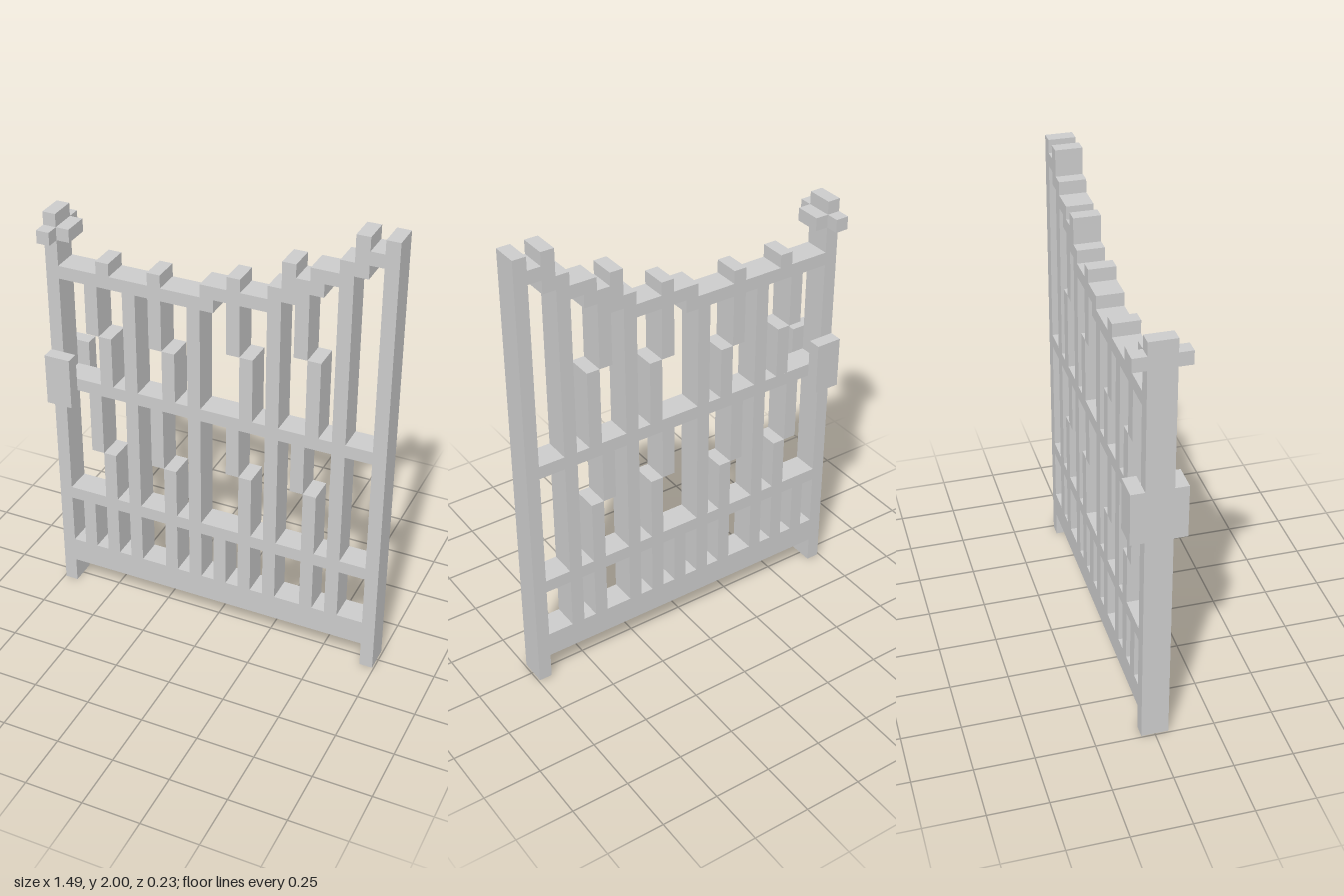
import * as THREE from 'three';

const U = 2 / 35; // one grid cell; the gate is 26 cells wide and 35 tall
const material = new THREE.MeshStandardMaterial({ color: 0xcccccc, flatShading: true });

export function createModel() {
  const gate = new THREE.Group();
  gate.name = 'gate';

  // Box spanning columns c0..c1, rows r0..r1 and depths z0..z1, in cells
  function block(name, c0, c1, r0, r1, z0 = -1, z1 = 1) {
    const geometry = new THREE.BoxGeometry((c1 - c0) * U, (r1 - r0) * U, (z1 - z0) * U);
    const mesh = new THREE.Mesh(geometry, material);
    mesh.position.set(((c0 + c1) / 2 - 13) * U, (r0 + r1) / 2 * U, (z0 + z1) / 2 * U);
    mesh.name = name;
    gate.add(mesh);
  }
  const bar = (name, c, r0, r1) => block(name, c, c + 1, r0, r1);

  // Side posts
  bar('latchPost', 0, 0, 32);
  bar('hingePost', 25, 0, 35);

  // Horizontal rails
  block('bottomRail', 1, 25, 2, 4);
  block('lowerRail', 1, 25, 8, 9);
  block('middleRail', 1, 25, 18, 19);
  block('topRail', 1, 13, 27, 28);

  // Stepped top rail rising to the hinge post
  block('steppedRail', 12, 17, 28, 29);
  for (const [c, r0, r1] of [[18, 29, 32], [20, 30, 32], [21, 31, 32], [23, 32, 35], [24, 33, 34]])
    bar('steppedRail', c, r0, r1);

  // Finials on the top rail
  for (const [c, r] of [[4, 28], [8, 28], [14, 29]]) bar('finial', c, r, r + 1);

  // Straight bars, split where they cross the rails
  for (const [c, top] of [[6, 27], [11, 27], [17, 30], [22, 33]]) {
    for (const [r0, r1] of [[4, 8], [9, 18], [19, top]]) bar('straightBar', c, r0, r1);
  }

  // Jogged bars: the upper half sits one column left of the lower half
  for (const [c, lowJog, highJog, top] of [[3, 13, 23, 27], [8, 13, 23, 27], [14, 14, 24, 28], [19, 14, 25, 31]]) {
    bar('joggedBar', c + 1, 4, 8);
    bar('joggedBar', c + 1, 9, lowJog);
    bar('joggedBar', c, lowJog, 18);
    bar('joggedBar', c + 1, 19, highJog);
    bar('joggedBar', c, highJog, top);
  }

  // Short extra pickets in the bottom panel
  for (const c of [2, 13]) bar('shortPicket', c, 4, 8);

  // Latch plates and post knobs, front and back
  for (const z of [-2, 1]) {
    block('latchPlate', 0, 2, 17, 21, z, z + 1);
    block('postKnob', 0, 1, 30, 31, z, z + 1);
  }
  block('sideKnob', 1, 2, 30, 31);

  return gate;
}
